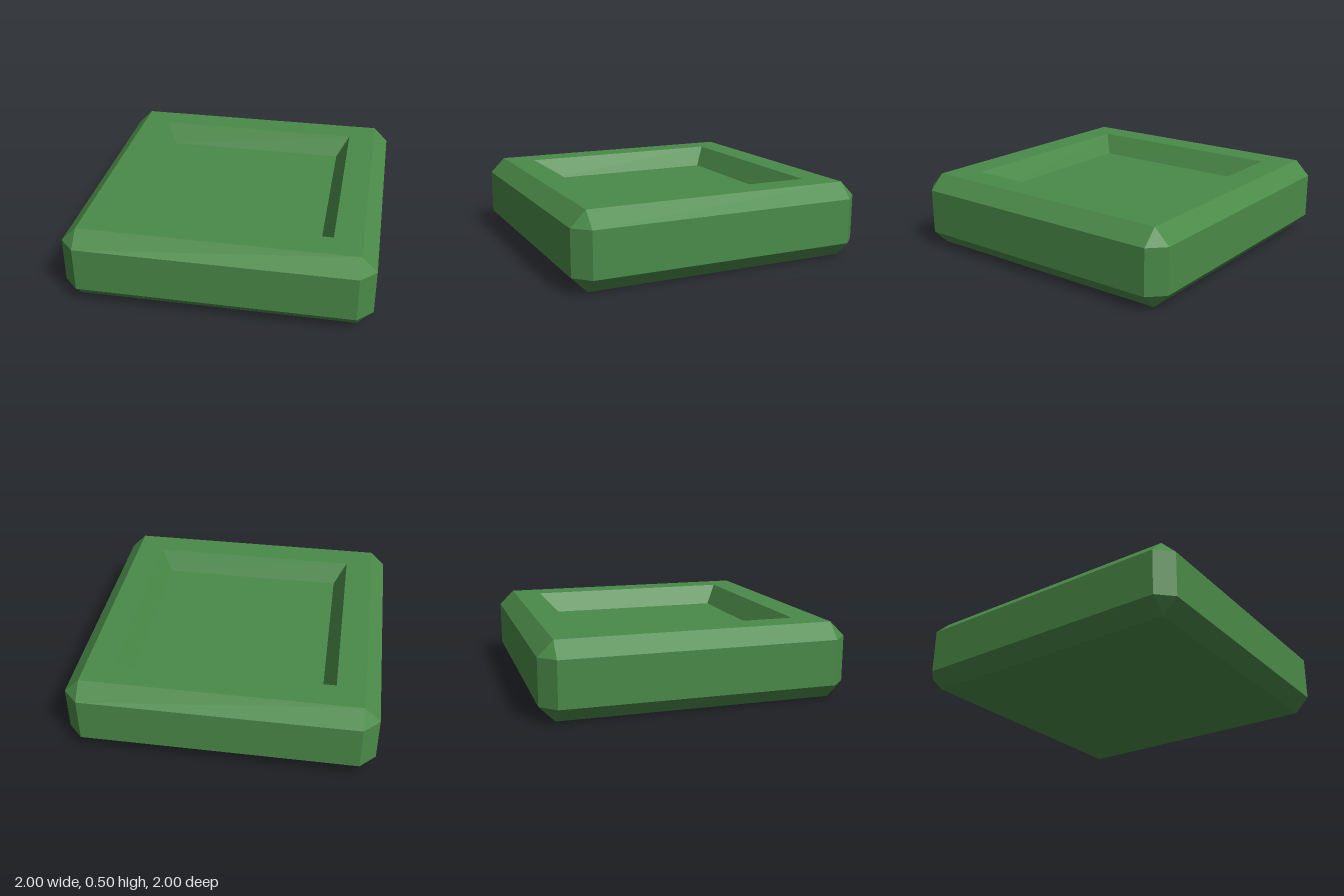
import * as THREE from 'three';

// Eight-point ring: a square of half-size s whose corners are cut by c (c = 0 doubles each corner)
function ring(s, y, c = 0) {
  const a = s - c;
  return [[a, s], [s, a], [s, -a], [a, -s], [-a, -s], [-s, -a], [-s, a], [-a, s]]
    .map(([x, z]) => new THREE.Vector3(x, y, z));
}

// Skin consecutive rings with flat faces, dropping triangles that collapse at doubled corners
function skin(rings) {
  const points = [];
  const tri = (a, b, c) => {
    const area = b.clone().sub(a).cross(c.clone().sub(a)).length();
    if (area > 1e-6) points.push(a, b, c);
  };
  for (let r = 0; r < rings.length - 1; r++) {
    const lo = rings[r], hi = rings[r + 1];
    for (let i = 0; i < 8; i++) {
      const j = (i + 1) % 8;
      tri(lo[i], lo[j], hi[j]);
      tri(lo[i], hi[j], hi[i]);
    }
  }
  const geometry = new THREE.BufferGeometry().setFromPoints(points);
  geometry.computeVertexNormals();
  return geometry;
}

export function createModel() {
  const group = new THREE.Group();
  group.name = 'recessedBlock';

  const green = new THREE.MeshStandardMaterial({ color: 0x4a8a48 });
  green.name = 'green';

  const add = (name, rings) => {
    const mesh = new THREE.Mesh(skin(rings), green);
    mesh.name = name;
    group.add(mesh);
  };

  // Chamfered body: underside, lower bevel, sides, upper bevel and top rim
  add('body', [
    ring(0, 0), ring(0.9, 0), ring(1, 0.1, 0.1),
    ring(1, 0.4, 0.1), ring(0.9, 0.5), ring(0.715, 0.5),
  ]);

  // Recess: sloping walls and floor
  add('recess', [ring(0.715, 0.5), ring(0.63, 0.365), ring(0, 0.365)]);

  return group;
}
